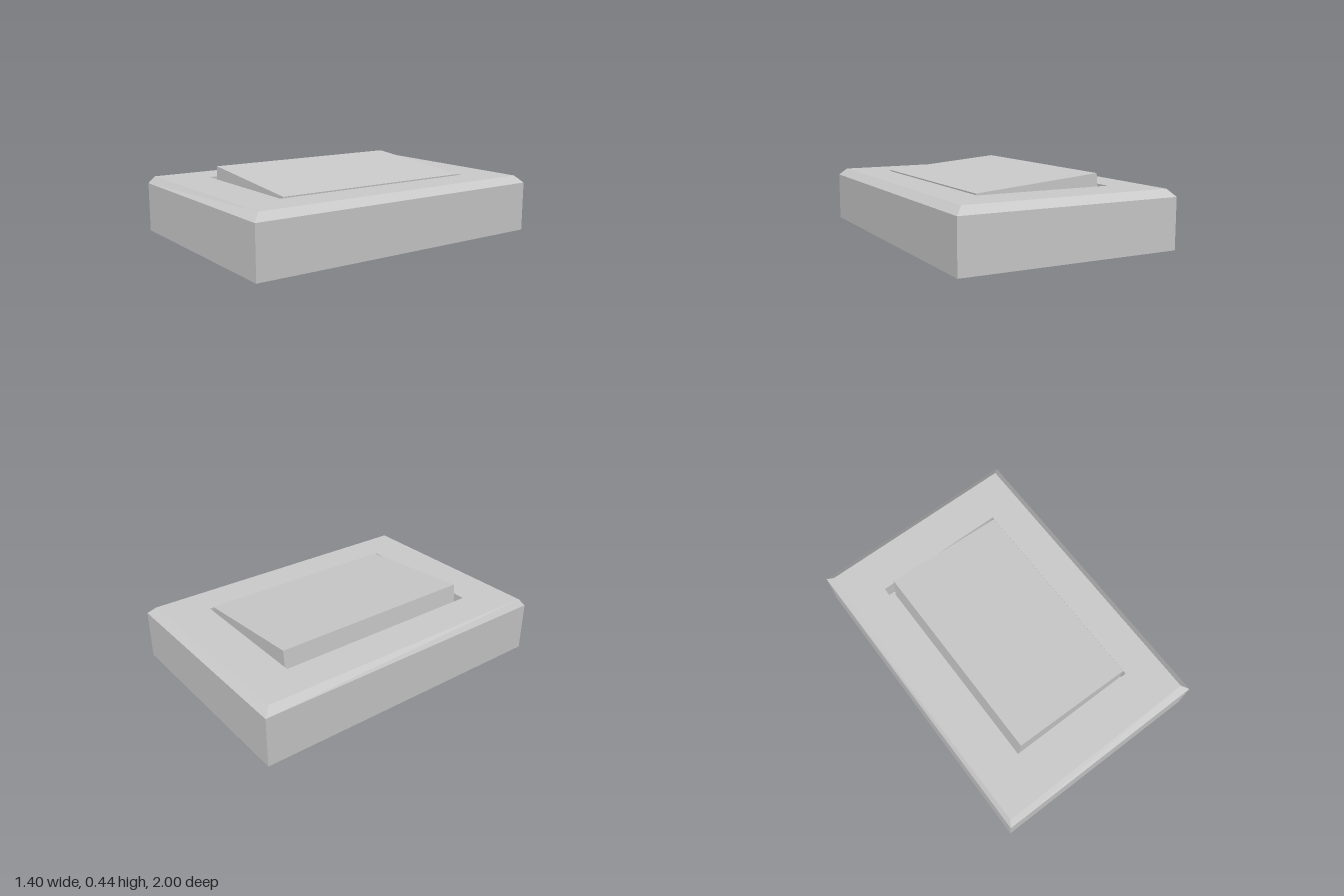
import * as THREE from 'three';

const material = new THREE.MeshStandardMaterial({ color: 0xcccccc, flatShading: true });

// Four corners, anticlockwise from above: front left, front right, back right, back left
const rect = (x0, x1, z0, z1, y) => [[x0, y, z1], [x1, y, z1], [x1, y, z0], [x0, y, z0]];

// Closed skin over successive four-cornered rings, capped at both ends
function skin(name, rings) {
  const points = [];
  const quad = (a, b, c, d) => points.push(...a, ...b, ...c, ...a, ...c, ...d);
  for (let r = 0; r < rings.length - 1; r++) {
    const low = rings[r], high = rings[r + 1];
    for (let i = 0; i < 4; i++) {
      const j = (i + 1) % 4;
      quad(low[i], low[j], high[j], high[i]);
    }
  }
  quad(...[...rings[0]].reverse());
  quad(...rings[rings.length - 1]);
  const geometry = new THREE.BufferGeometry();
  geometry.setAttribute('position', new THREE.Float32BufferAttribute(points, 3));
  geometry.computeVertexNormals();
  const mesh = new THREE.Mesh(geometry, material);
  mesh.name = name;
  return mesh;
}

export function createModel() {
  const group = new THREE.Group();
  group.name = 'rockerSwitch';
  const top = 0.36, floor = 0.24;

  // Wall plate: straight sides, slightly uneven bevel, then the recess down to its floor
  group.add(skin('wallPlate', [
    rect(-0.7, 0.7, -1, 1, 0),
    rect(-0.7, 0.7, -1, 1, 0.315),
    [[-0.675, top, 0.965], [0.655, top, 0.955], [0.655, top, -0.955], [-0.66, top, -0.955]],
    rect(-0.44, 0.433, -0.69, 0.69, top),
    rect(-0.44, 0.433, -0.69, 0.69, floor),
  ]));

  // Rocker: tilted paddle, raised on one side and nearly flush on the other
  const paddleTop = rect(-0.373, 0.43, -0.668, 0.668, 0.437);
  paddleTop[1][1] = paddleTop[2][1] = 0.367;
  group.add(skin('rocker', [rect(-0.39, 0.42, -0.668, 0.668, floor), paddleTop]));

  return group;
}
